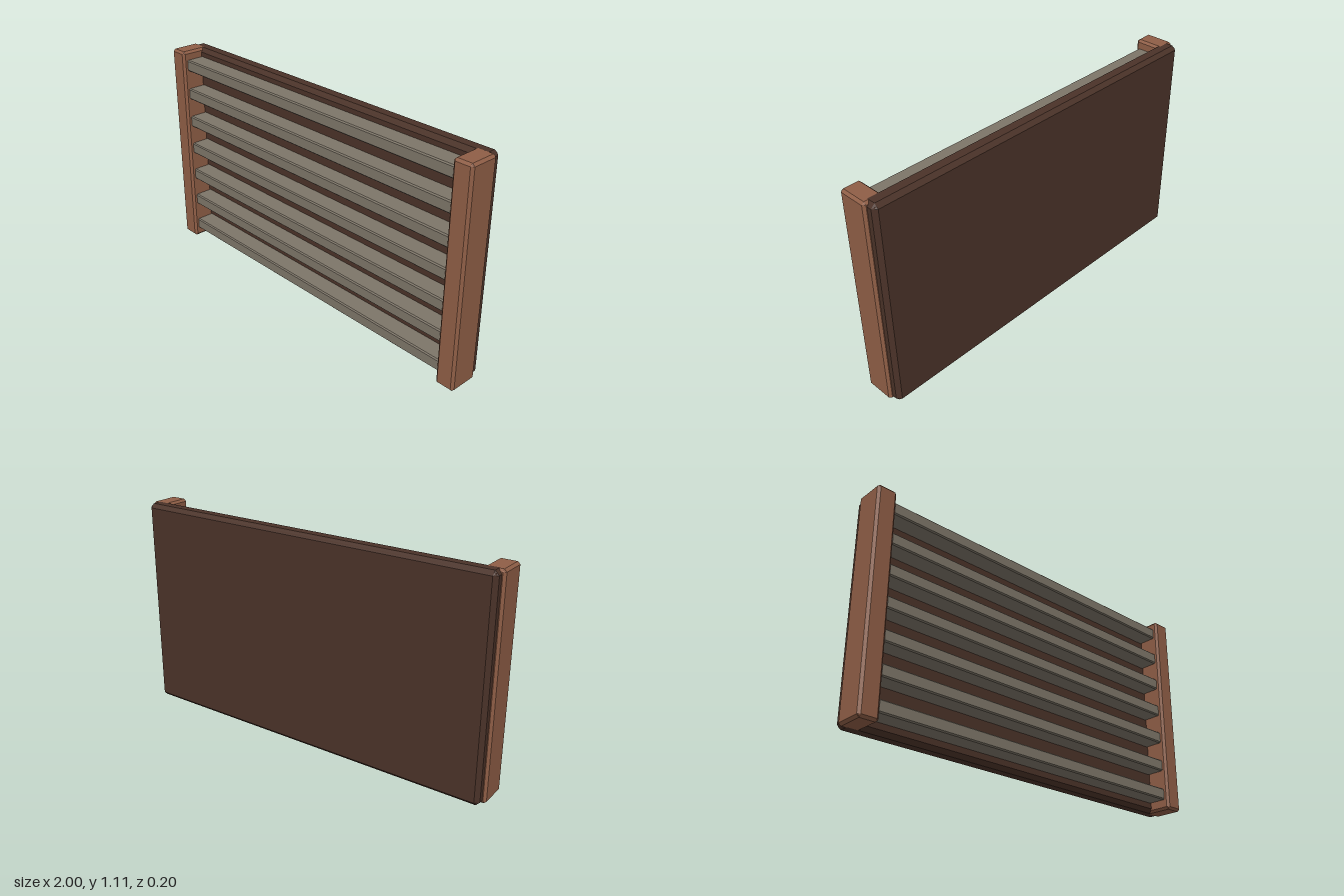
import * as THREE from 'three';

const material = (name, color) => {
  const m = new THREE.MeshStandardMaterial({ color });
  m.name = name;
  return m;
};

// Box with chamfered edges and corners, given by its limits on each axis
function chamferBox(name, mat, [x0, x1], [y0, y1], [z0, z1], c) {
  const w = x1 - x0, h = y1 - y0, d = z1 - z0;
  // Three segments per axis; the outer rings are pulled in to form the chamfers
  const geo = new THREE.BoxGeometry(3, 3, 3, 3, 3, 3);
  const p = geo.attributes.position;
  const half = [w / 2, h / 2, d / 2];
  for (let i = 0; i < p.count; i++) {
    const v = [p.getX(i), p.getY(i), p.getZ(i)];
    const outer = v.filter((a) => Math.abs(a) > 1).length;
    const out = v.map((a, k) => {
      const inset = Math.abs(a) < 1 ? c : outer === 1 ? 0 : outer === 2 ? c / 2 : c * 0.6;
      return Math.sign(a) * (half[k] - inset);
    });
    p.setXYZ(i, ...out);
  }
  const flat = geo.toNonIndexed();
  flat.computeVertexNormals();
  const mesh = new THREE.Mesh(flat, mat);
  mesh.name = name;
  mesh.position.set((x0 + x1) / 2, (y0 + y1) / 2, (z0 + z1) / 2);
  return mesh;
}

export function createModel() {
  const group = new THREE.Group();
  group.name = 'slattedPanel';
  const darkWood = material('dark wood', 0x4a3228);
  const redWood = material('red brown wood', 0x8f5e46);
  const greyWood = material('grey slat', 0x7d7568);
  const height = 1.105;

  // Solid board behind the slats
  group.add(chamferBox('backPanel', darkWood, [-0.985, 0.985], [0, height], [-0.1, -0.015], 0.02));

  // Upright post at each end
  group.add(chamferBox('leftPost', redWood, [0.9, 1], [0, height], [-0.055, 0.1], 0.012));
  group.add(chamferBox('rightPost', redWood, [-1, -0.9], [0, height], [-0.055, 0.1], 0.012));

  // Evenly spaced horizontal slats between the posts
  for (let i = 0; i < 7; i++) {
    const y = 0.08 + i * 0.1585;
    group.add(chamferBox(`slat${i + 1}`, greyWood, [-0.9, 0.9], [y - 0.03, y + 0.03], [-0.025, 0.08], 0.006));
  }
  return group;
}
